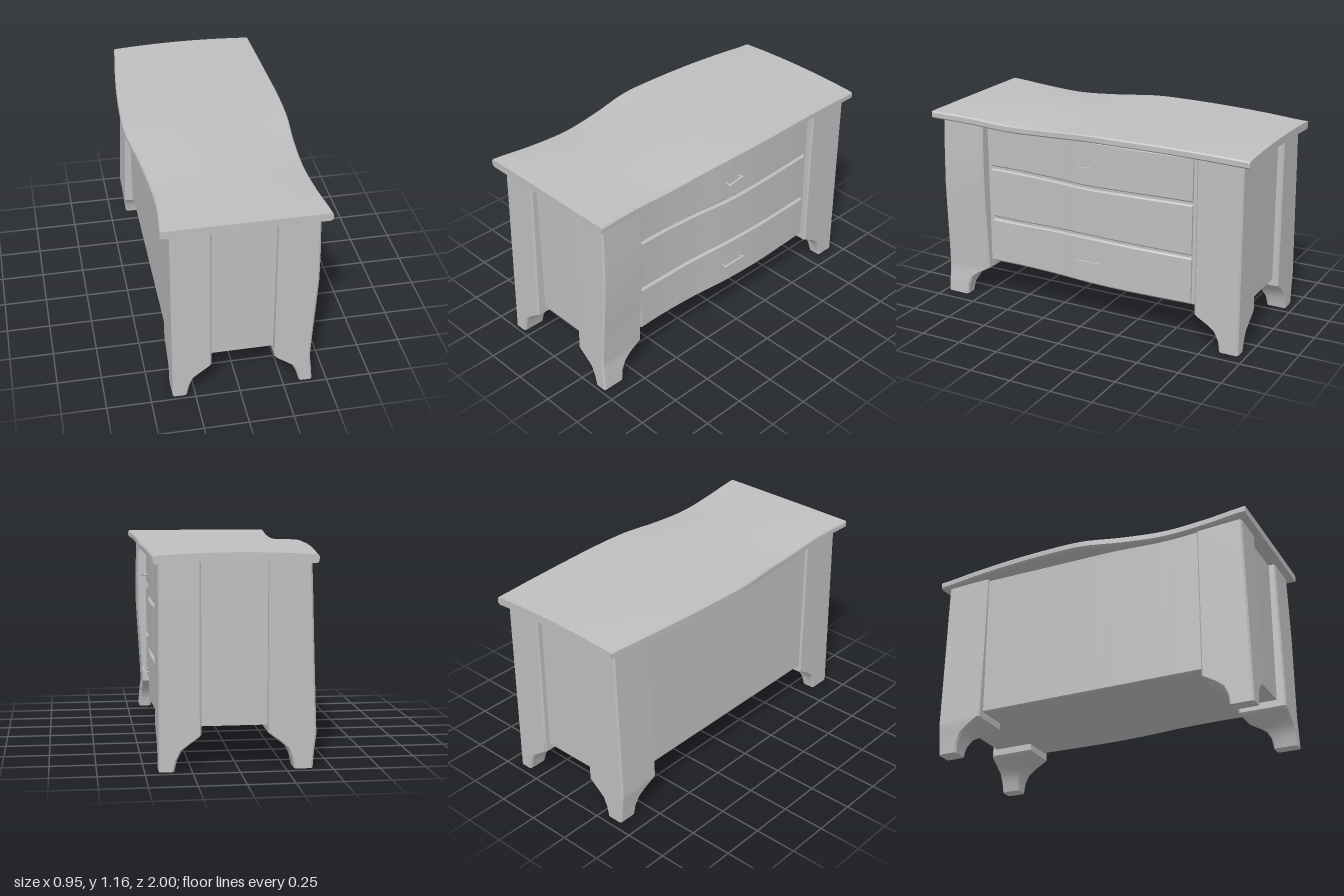
import * as THREE from 'three';
import { toCreasedNormals } from 'three/addons/utils/BufferGeometryUtils.js';

const V = (x, y, z) => new THREE.Vector3(x, y, z);

// Smooth curve through evenly spaced values over z = -1..1
function along(values) {
  const n = values.length - 1;
  const at = (i) => values[Math.max(0, Math.min(n, i))];
  return (z) => {
    const f = Math.max(0, Math.min(n, (z + 1) / 2 * n));
    const i = Math.min(n - 1, Math.floor(f)), t = f - i;
    const [a, b, c, d] = [at(i - 1), at(i), at(i + 1), at(i + 2)];
    return b + 0.5 * t * (c - a + t * (2 * a - 5 * b + 4 * c - d + t * (3 * (b - c) + d - a)));
  };
}

// Closed solid through a row of equal-length rings, wound outwards
function loft(rings, crease = 0.5) {
  const n = rings[0].length, pts = rings.flat(), idx = [];
  for (let r = 0; r < rings.length - 1; r++) {
    for (let k = 0; k < n; k++) {
      const a = r * n + k, b = r * n + (k + 1) % n;
      idx.push(a, b, a + n, b, b + n, a + n);
    }
  }
  [0, rings.length - 1].forEach((r, end) => {
    const c = rings[r].reduce((s, p) => s.add(p), V(0, 0, 0)).divideScalar(n);
    const ci = pts.push(c) - 1;
    for (let k = 0; k < n; k++) {
      const a = r * n + k, b = r * n + (k + 1) % n;
      idx.push(...(end ? [ci, a, b] : [ci, b, a]));
    }
  });
  let volume = 0;
  for (let i = 0; i < idx.length; i += 3) {
    volume += pts[idx[i]].dot(V(0, 0, 0).crossVectors(pts[idx[i + 1]], pts[idx[i + 2]]));
  }
  if (volume < 0) idx.reverse();
  const g = new THREE.BufferGeometry().setFromPoints(pts);
  g.setIndex(idx);
  return toCreasedNormals(g, crease);
}

// Rectangle corners a..b with small chamfers, mapped to 3D
function chamferRect(a0, a1, b0, b1, c, map) {
  const ca = Math.sign(a1 - a0) * c, cb = Math.sign(b1 - b0) * c;
  return [
    [a0 + ca, b0], [a1 - ca, b0], [a1, b0 + cb], [a1, b1 - cb],
    [a1 - ca, b1], [a0 + ca, b1], [a0, b1 - cb], [a0, b0 + cb],
  ].map(([a, b]) => map(a, b));
}

const steps = (z0, z1, n) => Array.from({ length: n + 1 }, (_, i) => z0 + (z1 - z0) * i / n);

// Outline curves, back end (z = -1) to front end (z = 1)
const topLeft = along([-0.41, -0.437, -0.46, -0.474, -0.476, -0.44, -0.415, -0.41, -0.43]);
const topRight = along([0.455, 0.46, 0.466, 0.473, 0.47, 0.45, 0.443, 0.452, 0.475]);
const topEdge = along([1.142, 1.15, 1.155, 1.156, 1.153, 1.137, 1.128, 1.143, 1.156]);
const drawerFace = along([0.395, 0.4, 0.412, 0.42, 0.412, 0.388, 0.378, 0.385, 0.39]);
const upperGap = along([0.835, 0.835, 0.835, 0.832, 0.826, 0.828, 0.832, 0.835, 0.835]);
const lowerGap = along([0.523, 0.523, 0.527, 0.53, 0.53, 0.523, 0.516, 0.523, 0.525]);

export function createModel() {
  const model = new THREE.Group();
  model.name = 'dresser';
  const wood = new THREE.MeshStandardMaterial({ color: 0xbfbfbf });
  wood.name = 'grey';
  const add = (name, geometry) => {
    const m = new THREE.Mesh(geometry, wood);
    m.name = name;
    model.add(m);
    return m;
  };

  // Wavy, slightly crowned table top
  const across = steps(-1, 1, 10);
  add('top', loft(steps(-1, 1, 40).map((z) => {
    const l = topLeft(z), r = topRight(z), e = topEdge(z);
    const x = (u) => l + (r - l) * (u + 1) / 2;
    const y = (u) => e + (1.157 - e) * (1 - u * u);
    const upper = across.map((u) => V(x(u * 0.985), y(u), z));
    const lower = across.map((u) => V(x(-u * 0.97), y(u) - 0.045, z));
    return [...upper, V(r, e - 0.008, z), V(r, e - 0.035, z),
      ...lower, V(l, e - 0.035, z), V(l, e - 0.008, z)];
  })));

  // Carcass behind the drawers
  add('body', loft(steps(-0.92, 0.92, 24).map((z) => chamferRect(
    -0.365, drawerFace(z) - 0.015, 0.235, 1.105, 0.006, (x, y) => V(x, y, z)))));

  // Three bowed drawer fronts separated by curved gaps
  const bands = [
    ['bottomDrawer', () => 0.243, (z) => lowerGap(z) - 0.008],
    ['middleDrawer', (z) => lowerGap(z) + 0.008, (z) => upperGap(z) - 0.008],
    ['topDrawer', (z) => upperGap(z) + 0.008, () => 1.1],
  ];
  for (const [name, y0, y1] of bands) {
    add(name, loft(steps(-0.655, 0.655, 24).map((z) => chamferRect(
      0.3, drawerFace(z), y0(z), y1(z), 0.008, (x, y) => V(x, y, z)))));
  }

  // Slim pulls on the top and bottom drawers
  for (const [name, y, z, length, tilt] of [
    ['topHandle', 0.956, -0.018, 0.115, -0.15],
    ['bottomHandle', 0.388, -0.022, 0.165, 0],
  ]) {
    const pull = add(name, new THREE.BoxGeometry(0.012, 0.007, length));
    pull.position.set(0.445, y, z);
    pull.rotation.x = -tilt;
    for (const s of [-0.4, 0.4]) {
      const pin = new THREE.Mesh(new THREE.BoxGeometry(0.04, 0.005, 0.006), wood);
      pin.name = 'handlePin';
      pin.position.set(-0.018, 0, s * length);
      pull.add(pin);
    }
  }

  // Corner posts: height, inner x on the right and left, inner z
  const profile = [
    [0, 0.345, -0.295, 0.84], [0.06, 0.33, -0.282, 0.832], [0.115, 0.302, -0.258, 0.805],
    [0.15, 0.255, -0.215, 0.76], [0.182, 0.21, -0.172, 0.705], [0.195, 0.2, -0.157, 0.685],
    [0.3, 0.2, -0.155, 0.685], [0.5, 0.2, -0.155, 0.685], [0.7, 0.2, -0.155, 0.685],
    [0.9, 0.2, -0.155, 0.685], [1.12, 0.2, -0.155, 0.685],
  ];
  // Outer x of each post at the profile heights
  const bowed = [0.42, 0.415, 0.41, 0.405, 0.404, 0.405, 0.41, 0.422, 0.433, 0.432, 0.424];
  const flared = [-0.395, -0.4, -0.405, -0.41, -0.414, -0.414, -0.41, -0.403, -0.396, -0.39, -0.382];
  const straight = (x) => profile.map(() => x);
  const posts = [
    ['frontLeftPost', 1, 1, bowed],
    ['frontRightPost', -1, 1, straight(-0.376)],
    ['backLeftPost', 1, -1, straight(0.425)],
    ['backRightPost', -1, -1, flared],
  ];
  for (const [name, sx, sz, outer] of posts) {
    add(name, loft(profile.map(([y, right, left, inZ], i) => {
      const bulge = sz > 0 ? 0.023 * (1 - Math.min(1, y / 1.1)) : 0;
      return chamferRect(outer[i], sx > 0 ? right : left, sz * (0.956 + bulge), sz * inZ,
        0.01, (x, z) => V(x, y, z));
    })));
  }
  return model;
}
